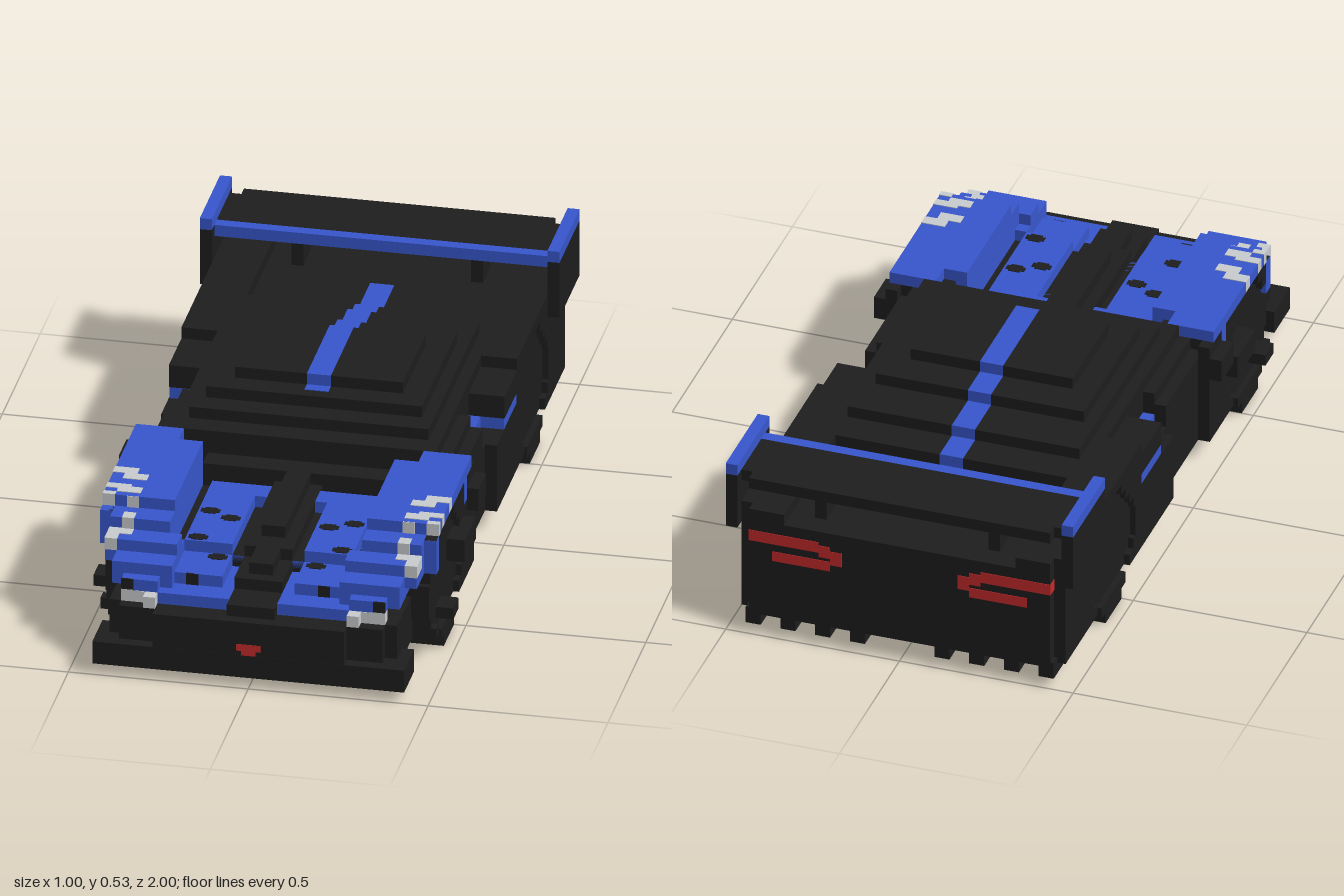
import * as THREE from 'three';
import { mergeGeometries } from 'three/addons/utils/BufferGeometryUtils.js';

const U = 1 / 30; // one block
const mat = (name, color) => Object.assign(new THREE.MeshStandardMaterial({ color }), { name });

// block from its bounds, in block units
function block([x0, x1, y0, y1, z0, z1]) {
  const g = new THREE.BoxGeometry((x1 - x0) * U, (y1 - y0) * U, (z1 - z0) * U);
  return g.translate((x0 + x1) * U / 2, (y0 + y1) * U / 2, (z0 + z1) * U / 2);
}
const flip = ([x0, x1, ...rest]) => [-x1, -x0, ...rest];

export function createModel() {
  const car = new THREE.Group();
  car.name = 'raceCar';
  const dark = mat('charcoal', 0x1e1e1e);
  const blue = mat('blue', 0x3857ce);
  const white = mat('lightGrey', 0xcbced1);
  const red = mat('red', 0xc82b2b);

  const centre = (name, material, blocks) => {
    const mesh = new THREE.Mesh(mergeGeometries(blocks.map(block)), material);
    mesh.name = name;
    car.add(mesh);
  };
  const pair = (name, material, blocks) => {
    centre(name + 'Left', material, blocks);
    centre(name + 'Right', material, blocks.map(flip));
  };

  // main hull and rear deck with a sunken middle
  centre('hull', dark, [
    [-13, 13, 2, 8, -29.95, 22],
    [-11, 11, 8, 11, -29.95, 8],
    [-12, 12, 2, 6, 22, 27],
  ]);
  pair('rearDeckSide', dark, [[10, 13, 8, 12, -29.95, -10]]);
  pair('door', dark, [[11, 13, 8, 10, -1, 8], [11, 12, 10, 11, -1, 8]]);

  // stepped cabin, each layer smaller than the one below
  centre('cabin', dark, [
    [-11, 11, 11, 12, -17, 8],
    [-10, 10, 12, 13, -14, 6],
    [-9, 9, 13, 14, -10, 4],
    [-7, 7, 14, 15, -7, 2],
  ]);
  // stripe following the cabin steps
  centre('roofStripe', blue, [
    [-1, 1, 14, 15.03, -7.03, 2.05],
    [-1, 1, 13, 14.05, -10.05, 3],
    [-1, 1, 12, 13.05, -14.05, -9],
    [-1, 1, 11, 12.05, -17.05, -13],
    [-1, 1, 10.5, 11.05, -23, -16],
  ]);

  // outer side skins with round wheel openings
  const wheelRows = [2, 3, 4, 5, 5.5, 5.5, 5.5, 5, 4, 3, 2];
  const skin = (zMin, zMax, zc, top) => {
    const out = [];
    for (let y = 2; y < top; y++) {
      const r = wheelRows[y] ?? 0;
      out.push([13, 14, y, y + 1, zMin, zc - r]);
      if (zc + r < zMax) out.push([13, 14, y, y + 1, zc + r, zMax]);
    }
    return out;
  };
  pair('frontSide', dark, skin(7, 22, 17, 11));
  pair('rearSide', dark, skin(-29, -10, -17, 12));
  pair('sideIntake', dark, [[13, 14, 2, 8, -10, -2], [11, 14, 9, 11, -10, -5]]);
  pair('intakeTrim', blue, [[11, 12, 8, 9, -5, -1], [11, 13.95, 8, 9, -10, -5]]);

  // wheels built from rows
  for (const [name, zc] of [['frontWheel', 17], ['rearWheel', -17]]) {
    pair(name, dark, wheelRows.map((r, y) => [10, y < 2 ? 14 : 13.5, y, y + 1, zc - r, zc + r]));
  }
  pair('archBlade', dark, [[14, 15, 8, 10, 7, 10], [13, 15, 6, 8, 11, 15.5]]);
  pair('wheelHub', dark, [[13, 15, 3, 4, 18, 20]]);

  // nose, splitter and central spine
  centre('nose', dark, [
    [-12, 12, 3, 6, 22, 28],
    [-11, 11, 3, 6, 28, 29],
    [-8, 8, 3, 6, 29, 29.97],
    [-2, 2, 6, 7, 26, 29],
  ]);
  centre('splitter', dark, [[-13, 13, 1, 3, 26, 30]]);
  centre('spine', dark, [
    [-2, 2, 6, 8, 22, 26], [-2, 2, 8, 9, 8, 22], [-1, 1, 9, 10, 8, 20],
    [-8, 8, 8, 10, 8, 10], [-1, 1, 8, 9, 22, 25],
  ]);
  centre('noseBadgePlate', red, [[-1, 1, 3.4, 4, 29.8, 30], [-0.6, 0.6, 3, 3.4, 29.8, 30]]);

  // bonnet panels with raised ridges, falling towards the nose
  pair('bonnet', blue, [
    [2, 8, 7, 8, 11, 22],
    [2, 7, 8, 9, 11, 13],
    [3, 7, 8, 9, 13, 22],
    [2, 8, 6, 7, 22, 28],
    [3, 7, 7, 8, 22, 26],
  ]);
  const vent = (x, y, z) => [
    [x - 0.8, x + 0.8, y - 0.1, y + 0.05, z - 0.3, z + 0.3],
    [x - 0.5, x + 0.5, y - 0.1, y + 0.06, z - 0.5, z + 0.5],
  ];
  pair('bonnetVents', dark, [
    ...vent(6, 9, 16.4), ...vent(4.1, 9, 17.4), ...vent(6, 9, 21.3), ...vent(4.1, 8, 22.6),
    [5, 6, 7, 8, 25.9, 26.05], [10, 11, 7, 8, 27.9, 28.05],
  ]);

  // front wings: dark core, blue caps and steps
  pair('fenderCore', dark, [[9, 13, 8, 11, 8, 21]]);
  pair('fender', blue, [
    [10, 14, 11, 12, 8, 21],
    [8, 10, 11, 12, 10, 21],
    [8, 9, 8, 11, 10, 21],
    [8, 14.03, 8, 11, 21, 22.03],
    [13, 14.03, 9, 11, 10, 11],
    [8, 13, 8, 11, 22, 23],
    [7, 13, 8, 10, 23, 25],
    [7, 12, 7, 9, 22, 27],
    [8, 11, 7, 8, 27, 28],
    [8, 10, 6, 7, 27, 28],
  ]);
  // pale patches on the wings and the low lamps
  pair('fenderMarks', white, [
    [12, 14.04, 11.1, 12.06, 16, 17], [11, 13, 11.9, 12.06, 17, 18],
    [12, 14.04, 11.1, 12.06, 19, 19.8], [11, 13, 11.9, 12.06, 19.4, 20.4],
    [11, 12, 10, 12, 20.9, 21.06], [11, 12, 10, 11.05, 22, 23.06],
    [13, 14.04, 11, 12.06, 20.5, 21.06],
    [12, 13.04, 9, 10.06, 23, 25.06], [11, 12, 9.5, 10.06, 23, 24],
  ]);
  pair('headlamp', white, [[8, 9, 6, 7, 28, 29], [9, 10, 6, 7, 27.9, 28.06], [10, 11, 6, 7.06, 27, 28.06]]);

  // rear wing
  centre('wingBlade', dark, [[-14, 14, 14, 15, -29, -24], [-13, 13, 14, 15, -30, -29]]);
  centre('wingEdge', blue, [[-14, 14, 14, 15, -24, -23]]);
  pair('wingStrut', dark, [[7, 8, 11, 14, -28, -25]]);
  pair('wingEndPlate', dark, [[14, 15, 10, 15, -30, -22]]);
  pair('wingEndCap', blue, [[14, 15, 15, 16, -30, -22]]);

  // tail lamps and diffuser fins
  pair('tailLamp', red, [
    [7, 13.04, 9, 10, -30, -29], [6, 7, 8.6, 9.7, -30, -29.5],
    [5, 6, 8, 9.3, -30, -29.5], [6, 11, 7.4, 8.3, -30, -29.5],
  ]);
  pair('diffuserFins', dark, [3, 6, 9, 12].map((x) => [x, x + 1.3, 1, 2.5, -29.95, -25]));
  return car;
}
